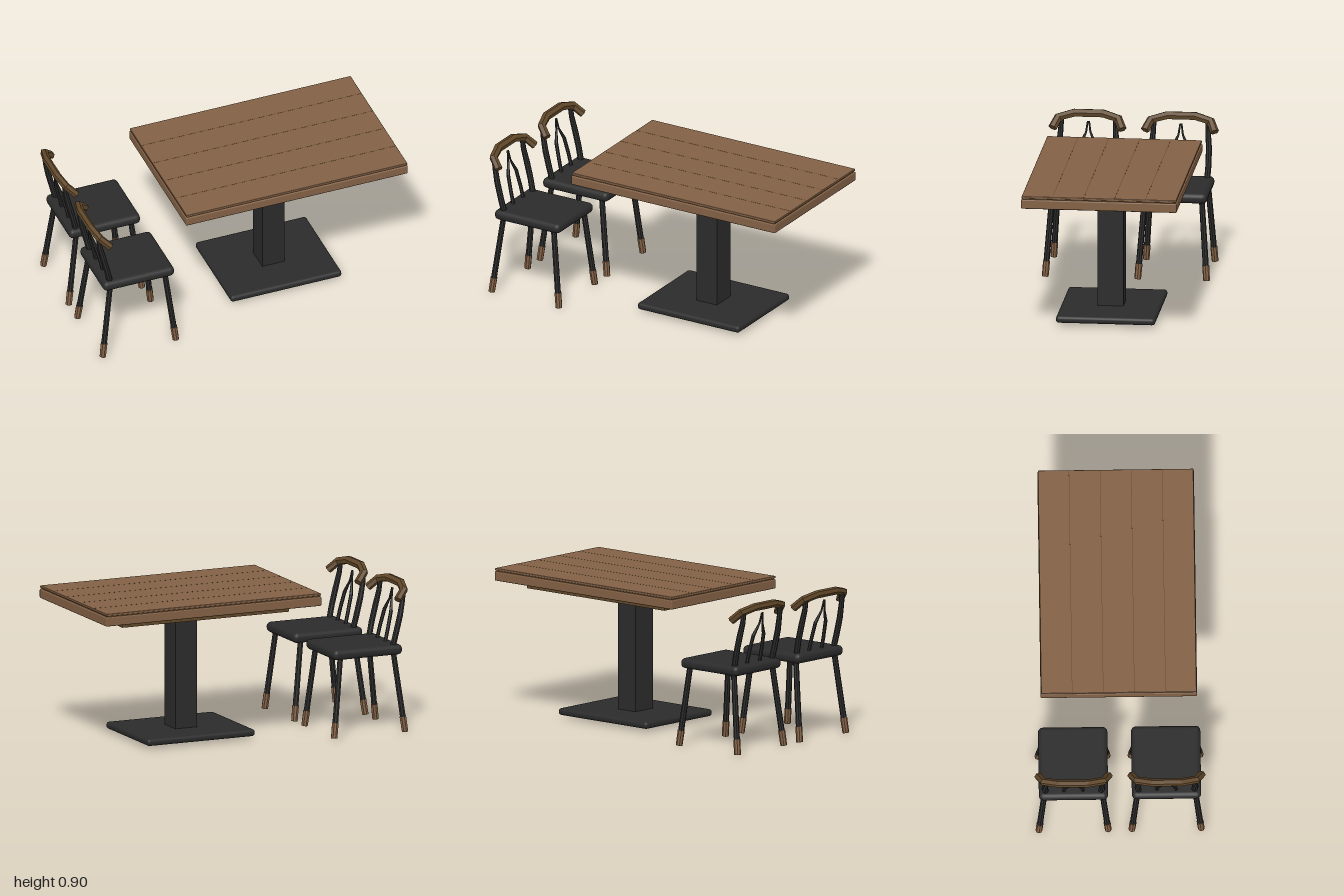
import * as THREE from 'three';
import { RoundedBoxGeometry } from 'three/addons/geometries/RoundedBoxGeometry.js';

const V = (x, y, z) => new THREE.Vector3(x, y, z);

export function createModel() {
  const material = (name, color) => {
    const m = new THREE.MeshStandardMaterial({ color });
    m.name = name;
    return m;
  };
  const black = material('black paint', 0x2b2b2b);
  const wood = material('warm wood', 0x836145);
  const darkWood = material('dark wood', 0x604729);

  const add = (parent, name, geometry, mat) => {
    const mesh = new THREE.Mesh(geometry, mat);
    mesh.name = name;
    parent.add(mesh);
    return mesh;
  };

  // Box given by its minimum and maximum corners, optionally with rounded edges
  const box = (parent, name, mat, a, b, radius = 0) => {
    const size = a.map((v, i) => b[i] - v);
    const geometry = radius
      ? new RoundedBoxGeometry(...size, 2, radius)
      : new THREE.BoxGeometry(...size);
    const mesh = add(parent, name, geometry, mat);
    mesh.position.set(...a.map((v, i) => (v + b[i]) / 2));
  };

  // Faceted, capped bar bent along a list of points; flat = thickness along ref
  const bar = (parent, name, mat, points, radii, sides = 8, ref = V(1, 0, 0), flat = 1) => {
    const n = points.length - 1;
    const base = new THREE.CylinderGeometry(1, 1, 1, sides, n);
    const pos = base.attributes.position;
    for (let i = 0; i < pos.count; i++) {
      const k = Math.round((pos.getY(i) + 0.5) * n);
      const t = V(0, 0, 0);
      if (k > 0) t.add(points[k].clone().sub(points[k - 1]).normalize());
      if (k < n) t.add(points[k + 1].clone().sub(points[k]).normalize());
      t.normalize();
      const u = ref.clone().addScaledVector(t, -ref.dot(t)).normalize();
      const w = u.clone().cross(t);
      const r = radii[Math.min(k, radii.length - 1)];
      const p = points[k].clone()
        .addScaledVector(u, pos.getX(i) * r * flat)
        .addScaledVector(w, pos.getZ(i) * r);
      pos.setXYZ(i, p.x, p.y, p.z);
    }
    const geometry = base.toNonIndexed();
    geometry.computeVertexNormals();
    add(parent, name, geometry, mat);
  };

  const model = new THREE.Group();
  model.name = 'diningSet';

  // Pedestal table
  const table = new THREE.Group();
  table.name = 'table';
  model.add(table);
  box(table, 'tabletopLower', wood, [-0.41, 0.808, -0.463], [1, 0.865, 0.463], 0.008);
  box(table, 'tabletopGroove', darkWood, [-0.401, 0.855, -0.454], [0.991, 0.878, 0.454]);
  box(table, 'tabletopUpper', wood, [-0.407, 0.87, -0.46], [0.997, 0.884, 0.46], 0.004);
  for (const z of [-0.276, -0.092, 0.092, 0.276])
    box(table, 'plankSeam', darkWood, [-0.403, 0.8835, z - 0.0015], [0.993, 0.8845, z + 0.0015]);
  box(table, 'apron', darkWood, [-0.25, 0.767, -0.35], [0.84, 0.81, 0.35]);
  box(table, 'column', black, [0.225, 0.05, -0.077], [0.365, 0.769, 0.077]);
  box(table, 'basePlate', black, [-0.057, 0.02, -0.295], [0.647, 0.062, 0.295], 0.018);

  // Two chairs facing the table
  for (const z of [-0.275, 0.275]) {
    const chair = new THREE.Group();
    chair.name = 'chair';
    chair.position.z = z;
    model.add(chair);

    box(chair, 'seat', black, [-0.937, 0.469, -0.205], [-0.485, 0.531, 0.205], 0.028);

    for (const s of [-1, 1]) {
      // Splayed legs with wooden tips
      for (const [topX, footX] of [[-0.886, -0.947], [-0.54, -0.483]]) {
        const top = V(topX, 0.485, s * 0.17);
        const foot = V(footX, 0.005, s * 0.205);
        const joint = foot.clone().lerp(top, 0.19);
        bar(chair, 'leg', black, [joint, top], [0.018, 0.017]);
        bar(chair, 'legTip', wood, [foot, joint], [0.02, 0.021]);
      }
      // Outer back post
      bar(chair, 'backPost', black, [
        V(-0.882, 0.5, s * 0.163), V(-0.905, 0.6, s * 0.17),
        V(-0.93, 0.7, s * 0.17), V(-0.95, 0.79, s * 0.163), V(-0.957, 0.85, s * 0.16),
      ], [0.018, 0.018, 0.018, 0.016, 0.015]);
      // Inner spindle leaning to the middle
      bar(chair, 'spindle', black, [
        V(-0.882, 0.5, s * 0.057), V(-0.905, 0.6, s * 0.054),
        V(-0.93, 0.7, s * 0.045), V(-0.949, 0.77, s * 0.013), V(-0.96, 0.835, s * 0.004),
      ], [0.011, 0.011, 0.011, 0.006, 0.005], 6);
    }

    // Curved crest rail
    const half = [V(-0.898, 0.805, 0.207), V(-0.951, 0.857, 0.178), V(-0.974, 0.88, 0.085)];
    const rail = [
      ...half.map((p) => V(p.x, p.y, -p.z)),
      ...half.slice().reverse(),
    ];
    bar(chair, 'crestRail', darkWood, rail, [0.027], 6, V(1, 1, 0).normalize(), 0.85);
  }

  return model;
}
